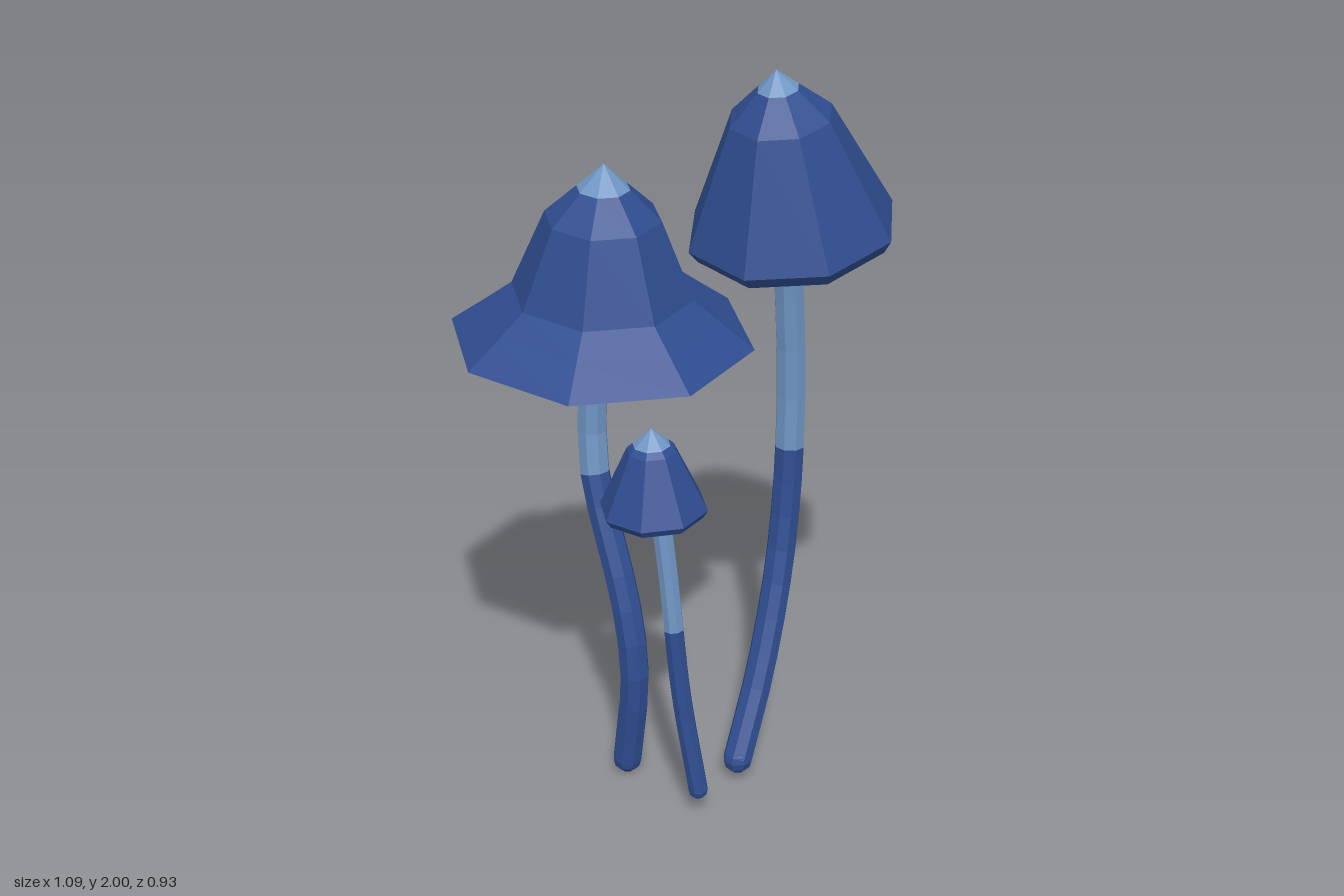
import * as THREE from 'three';

const SIDES = 8;

const material = (name, color) => {
  const m = new THREE.MeshStandardMaterial({ color, flatShading: true });
  m.name = name;
  return m;
};

// Stretch of a curve between two parameters
class SubCurve extends THREE.Curve {
  constructor(base, from, to) {
    super();
    Object.assign(this, { base, from, to });
  }
  getPoint(t, target = new THREE.Vector3()) {
    return this.base.getPoint(this.from + t * (this.to - this.from), target);
  }
}

function addMesh(group, name, geometry, mat) {
  const mesh = new THREE.Mesh(geometry, mat);
  mesh.name = name;
  group.add(mesh);
  return mesh;
}

// Curve parameter at which a rising stem reaches a height
function parameterAtHeight(curve, height) {
  let low = 0;
  let high = 1;
  for (let i = 0; i < 20; i++) {
    const mid = (low + high) / 2;
    if (curve.getPoint(mid).y < height) low = mid;
    else high = mid;
  }
  return low;
}

// Bent stem: dark below the split height, pale above it, with a rounded foot
function makeStem(path, splitHeight, radius, dark, pale) {
  const stem = new THREE.Group();
  stem.name = 'stem';
  const points = path.map((p) => new THREE.Vector3(...p));
  const curve = new THREE.CatmullRomCurve3(points);
  const cut = parameterAtHeight(curve, splitHeight);
  const tube = (from, to, rings) =>
    new THREE.TubeGeometry(new SubCurve(curve, from, to), rings, radius, SIDES);
  addMesh(stem, 'lowerStem', tube(0, cut, 9), dark);
  addMesh(stem, 'upperStem', tube(cut, 1, 6), pale);
  const foot = addMesh(stem, 'stemFoot', new THREE.SphereGeometry(radius, SIDES, 6), dark);
  foot.position.copy(points[0]);
  return stem;
}

// Hollow eight-sided cap; `outside` runs [radius, height] from rim to shoulder
function makeCap({ center, axis, turn, outside, apex, tipRadius }, dark, pale) {
  const cap = new THREE.Group();
  cap.name = 'cap';
  const outer = outside.map((p) => new THREE.Vector2(...p));
  const shoulder = outer[outer.length - 1];
  const top = new THREE.Vector2(0, apex);
  const tipEdge = top.clone().lerp(shoulder, tipRadius / shoulder.x);
  // The inside follows the outside, slightly smaller and lower
  const inner = outer.slice(1).reverse().map((p) => new THREE.Vector2(p.x * 0.92, p.y - 0.02));
  const ceiling = new THREE.Vector2(0, shoulder.y);

  const lathe = (profile) =>
    new THREE.LatheGeometry(profile, SIDES, THREE.MathUtils.degToRad(turn));
  addMesh(cap, 'capShell', lathe([ceiling, ...inner, ...outer, tipEdge]), dark);
  addMesh(cap, 'capTip', lathe([tipEdge, top]), pale);
  cap.position.set(...center);
  cap.quaternion.setFromUnitVectors(
    new THREE.Vector3(0, 1, 0), new THREE.Vector3(...axis).normalize());
  return cap;
}

export function createModel() {
  const dark = material('deepBlue', 0x2f4d90);
  const pale = material('paleBlue', 0x7096c4);
  const model = new THREE.Group();
  model.name = 'mushroomCluster';

  const addMushroom = (name, path, splitHeight, radius, cap) => {
    const mushroom = new THREE.Group();
    mushroom.name = name;
    mushroom.add(makeStem(path, splitHeight, radius, dark, pale), makeCap(cap, dark, pale));
    model.add(mushroom);
  };

  // Wide cap with a flared brim on an S-shaped stem
  addMushroom('flaredMushroom',
    [[-0.07, 0.045, 0.13], [-0.038, 0.33, 0.15], [-0.07, 0.53, 0.13],
      [-0.19, 0.88, 0.06], [-0.2, 1.05, 0.05], [-0.15, 1.6, 0.08]],
    0.88, 0.041, {
      center: [-0.16, 1.29, 0.07], axis: [0.04, 1, 0.04], turn: 12.3,
      outside: [[0.402, 0], [0.31, 0.07], [0.24, 0.125], [0.153, 0.335]],
      apex: 0.48, tipRadius: 0.07,
    });

  // Tall bell cap leaning forward on a stem that bows backward
  addMushroom('tallMushroom',
    [[0.225, 0.065, 0.045], [0.242, 0.3, -0.083], [0.251, 0.62, -0.2],
      [0.256, 1.05, -0.235], [0.25, 1.8, -0.15]],
    0.91, 0.041, {
      center: [0.262, 1.525, -0.2], axis: [-0.045, 1, 0.18], turn: 40,
      outside: [[0.258, 0], [0.28, 0.035], [0.137, 0.355]],
      apex: 0.485, tipRadius: 0.055,
    });

  // Small bell cap on a thin stem
  addMushroom('smallMushroom',
    [[0.188, 0.077, 0.243], [0.137, 0.37, 0.243], [0.1, 0.72, 0.243], [0.058, 1.06, 0.245]],
    0.56, 0.027, {
      center: [0.06, 0.893, 0.242], axis: [-0.02, 1, 0.03], turn: 10,
      outside: [[0.13, 0], [0.143, 0.02], [0.066, 0.186]],
      apex: 0.247, tipRadius: 0.05,
    });

  return model;
}
